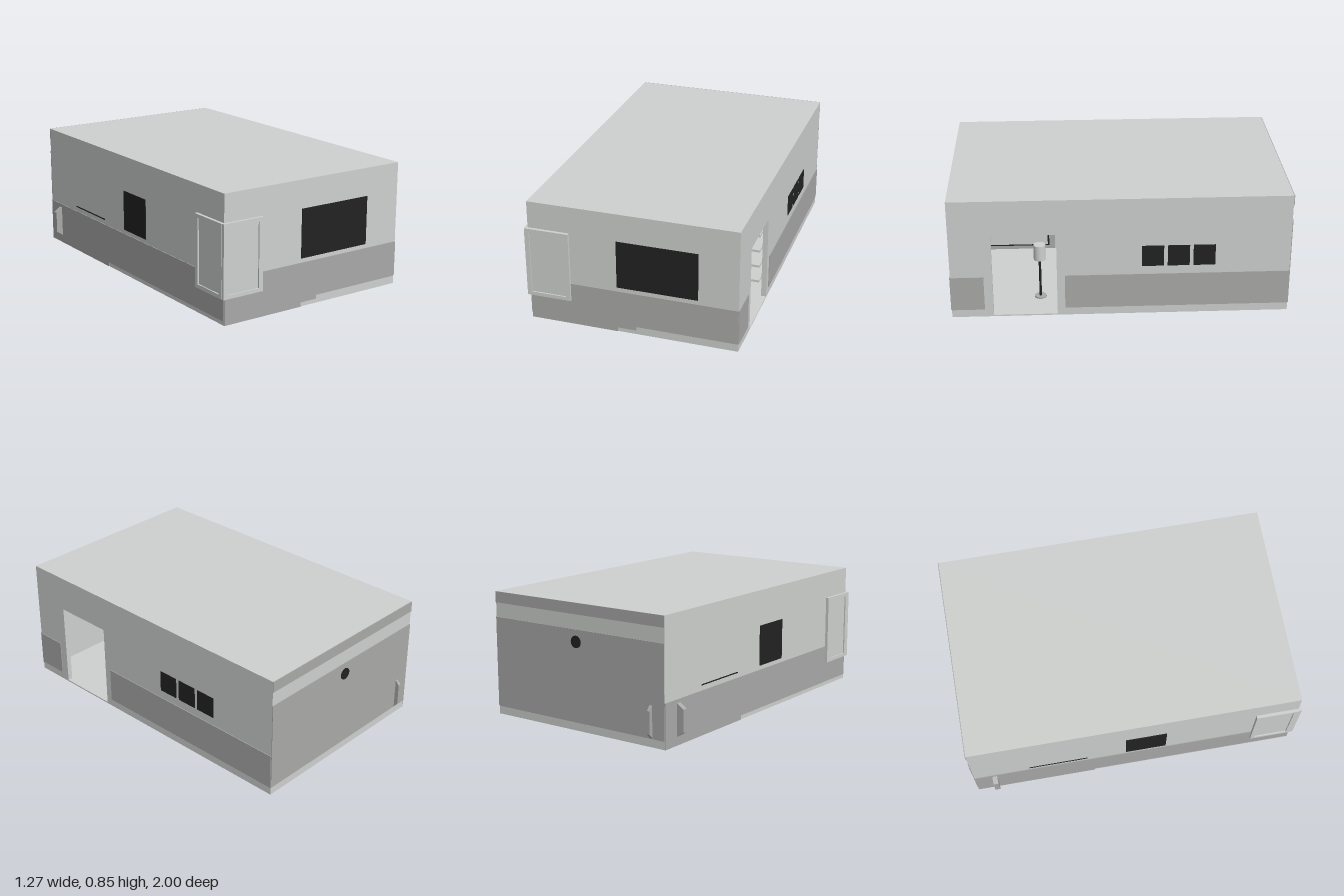
import * as THREE from 'three';

const mat = (name, color) => new THREE.MeshStandardMaterial({ name, color });

export function createModel() {
  const root = new THREE.Group();
  root.name = 'cabin';
  const light = mat('pale grey', 0xcdd0ce);
  const grey = mat('band grey', 0xa9a9a8);
  const black = mat('black', 0x222222);

  const add = (parent, name, geo, m) => {
    const mesh = new THREE.Mesh(geo, m);
    mesh.name = name;
    parent.add(mesh);
    return mesh;
  };
  // box given by its lower and upper corner
  const box = (name, m, [x0, y0, z0], [x1, y1, z1], parent = root) => {
    const g = new THREE.BoxGeometry(x1 - x0, y1 - y0, z1 - z0);
    g.translate((x0 + x1) / 2, (y0 + y1) / 2, (z0 + z1) / 2);
    return add(parent, name, g, m);
  };

  const L = -0.59, R = 0.63, B = -0.97, F = 0.98, Y0 = 0.117, Y1 = 0.85, T = 0.03, P = 0.004;

  // shell
  box('floor', light, [L, Y0, B], [R, Y0 + 0.008, F]);
  box('roof', light, [L, Y1 - T, B], [R, Y1, F]);
  const w0 = Y0 + 0.008, w1 = Y1 - T;
  box('frontWall', light, [L, w0, F - T], [R, w1, F]);
  box('backWall', light, [L, w0, B], [R, w1, B + T]);
  box('sideWall', light, [L, w0, B + T], [L + T, w1, F - T]);
  box('doorWallFront', light, [R - T, w0, 0.74], [R, w1, F - T]);
  box('doorWallBack', light, [R - T, w0, B + T], [R, w1, 0.37]);
  box('doorWallTop', light, [R - T, 0.635, 0.37], [R, w1, 0.74]);

  // thin painted plates on each wall: u0, u1 along the wall, v0, v1 in height
  const plate = {
    front: (n, m, u0, u1, v0, v1) => box(n, m, [u0, v0, F], [u1, v1, F + P]),
    back: (n, m, u0, u1, v0, v1) => box(n, m, [u0, v0, B - P], [u1, v1, B]),
    doorSide: (n, m, u0, u1, v0, v1) => box(n, m, [R, v0, u0], [R + P, v1, u1]),
    farSide: (n, m, u0, u1, v0, v1) => box(n, m, [L - P, v0, u0], [L, v1, u1]),
  };

  // painted bands
  plate.front('frontBandRight', grey, 0.04, R, 0.165, 0.375);
  plate.front('frontBandMiddle', grey, -0.07, 0.04, 0.142, 0.375);
  plate.front('frontBandInner', grey, -0.345, -0.07, Y0, 0.375);
  plate.front('frontBandLeft', grey, L, -0.345, Y0, 0.272);
  plate.doorSide('doorBandFront', grey, 0.79, F, 0.165, 0.375);
  plate.doorSide('doorBandBack', grey, B, 0.325, 0.165, 0.375);
  plate.farSide('farBandBack', grey, B, -0.24, Y0, 0.375);
  plate.farSide('farBandFront', grey, -0.24, F, 0.142, 0.375);
  plate.back('backPanel', grey, L, R, 0.165, 0.7);
  plate.back('backTopBand', grey, L, R, 0.785, Y1);

  // windows
  plate.front('serviceWindow', black, -0.07, 0.4, 0.4, 0.685);
  for (const z of [-0.18, -0.328, -0.475])
    plate.doorSide('smallWindow', black, z - 0.063, z + 0.063, 0.427, 0.555);
  plate.farSide('farWindow', black, -0.046, 0.198, 0.4, 0.64);
  plate.farSide('farSlot', black, -0.635, -0.28, 0.404, 0.41);
  const vent = new THREE.CylinderGeometry(0.035, 0.035, 0.008, 24);
  vent.rotateX(Math.PI / 2);
  add(root, 'roundVent', vent, black).position.set(0.02, 0.63, B - 0.004);

  // framed notice boards around the front corner
  const board = (name, w) => {
    const g = new THREE.Group();
    g.name = name;
    const h = 0.42, e = 0.022;
    const s = new THREE.Shape([[-w, -h], [w, -h], [w, h], [-w, h]].map(([x, y]) => new THREE.Vector2(x / 2, y / 2)));
    const a = w / 2 - e - 0.005, b = h / 2 - e;
    s.holes.push(new THREE.Path([[-a, -b], [-a, b], [a, b], [a, -b]].map(([x, y]) => new THREE.Vector2(x, y))));
    add(g, 'boardFrame', new THREE.ExtrudeGeometry(s, { depth: 0.018, bevelEnabled: false }), light);
    box('boardPanel', light, [-a, -b, 0], [a, b, 0.01], g);
    root.add(g);
    return g;
  };
  board('frontBoard', 0.26).position.set(-0.475, 0.48, F);
  const side = board('sideBoard', 0.25);
  side.rotation.y = -Math.PI / 2;
  side.position.set(L, 0.48, 0.855);

  // tapered grab bars at the rear corner
  const bar = (name, depth, width) => {
    const s = new THREE.Shape([[0, 0.165], [depth, 0.195], [depth, 0.325], [0, 0.357]].map(([x, y]) => new THREE.Vector2(x, y)));
    const g = new THREE.ExtrudeGeometry(s, { depth: width, bevelEnabled: false });
    g.translate(0, 0, -width / 2);
    return add(root, name, g, grey);
  };
  const sideBar = bar('sideBar', 0.045, 0.03);
  sideBar.rotation.y = Math.PI;
  sideBar.position.set(L, 0, -0.85);
  const backBar = bar('backBar', 0.028, 0.018);
  backBar.rotation.y = Math.PI / 2;
  backBar.position.set(-0.5, 0, B);

  // block and drain discs under the floor
  box('underBlock', grey, [0.02, 0, 0.11], [0.085, 0.07, 0.18]);
  for (const [x, z] of [[-0.49, 0.89], [0.02, 0.29]])
    add(root, 'drain', new THREE.CylinderGeometry(0.032, 0.032, 0.004, 20), grey).position.set(x, Y0 - 0.001, z);

  // counter with a dark framed front panel
  box('counterBody', grey, [-0.54, w0, 0.38], [-0.2, 0.372, 0.93]);
  box('counterTop', light, [-0.55, 0.372, 0.37], [-0.18, 0.388, 0.94]);
  box('counterFrame', black, [-0.2, 0.15, 0.42], [-0.195, 0.35, 0.88]);
  box('counterPanel', light, [-0.195, 0.16, 0.43], [-0.191, 0.34, 0.87]);

  // shelves beside the door
  box('shelfBack', light, [-0.1, w0, 0.12], [0.59, 0.62, 0.135]);
  for (const y of [0.2, 0.3, 0.4, 0.5])
    box('shelf', light, [-0.1, y, 0.135], [0.58, y + 0.014, 0.35]);

  // pedestal stand inside the doorway
  const stand = new THREE.Group();
  stand.name = 'stand';
  stand.position.set(0.42, 0, 0.47);
  root.add(stand);
  for (const [n, r, y0, y1, m] of [
    ['standBase', 0.035, w0, 0.133, grey],
    ['standPole', 0.007, 0.133, 0.375, black],
    ['standDrum', 0.035, 0.375, 0.47, light],
  ]) add(stand, n, new THREE.CylinderGeometry(r, r, y1 - y0, 24), m).position.y = (y0 + y1) / 2;

  return root;
}
